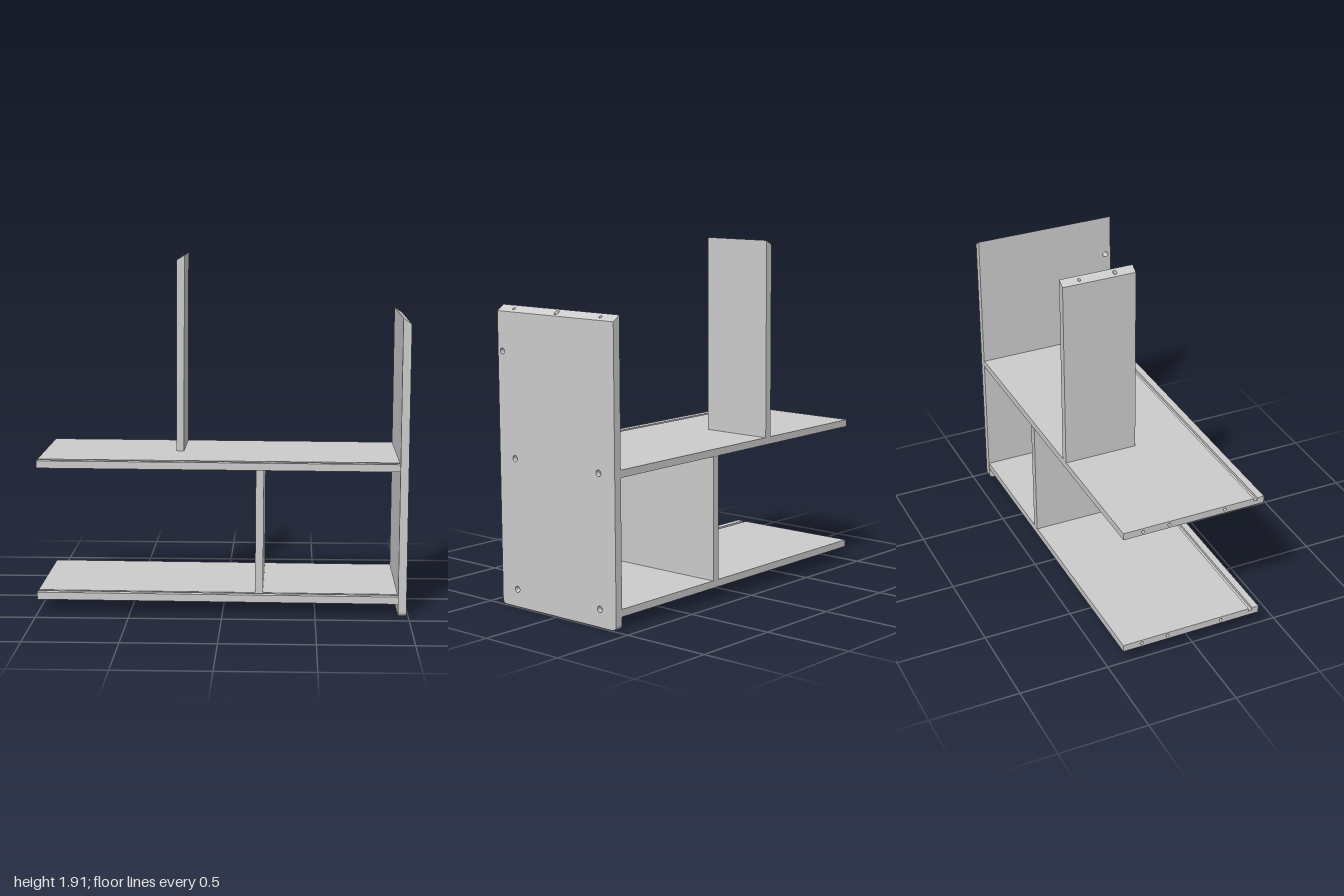
import * as THREE from 'three';

const material = new THREE.MeshStandardMaterial({ color: 0xcccccc });

// Shape from corner points, with round holes given as [a, b, radius]
function outline(points, holes = []) {
  const shape = new THREE.Shape(points.map(([a, b]) => new THREE.Vector2(a, b)));
  for (const [a, b, r] of holes) {
    shape.holes.push(new THREE.Path().absarc(a, b, r, 0, Math.PI * 2, true));
  }
  return shape;
}

const rect = (a0, a1, b0, b1) => [[a0, b0], [a1, b0], [a1, b1], [a0, b1]];
const extrude = (shape, depth) =>
  new THREE.ExtrudeGeometry(shape, { depth, bevelEnabled: false, curveSegments: 16 });

// Shape lies in (-z, y), thickness runs along x
const alongX = (shape, x0, x1) => extrude(shape, x1 - x0).rotateY(Math.PI / 2).translate(x0, 0, 0);
// Shape lies in (x, -z), thickness runs along y
const alongY = (shape, y0, y1) => extrude(shape, y1 - y0).rotateX(-Math.PI / 2).translate(0, y0, 0);

// Slope everything above yMin, pivoting about x0
function slopeTop(geometry, yMin, x0, slope) {
  const p = geometry.attributes.position;
  for (let i = 0; i < p.count; i++) {
    if (p.getY(i) > yMin) p.setY(i, p.getY(i) + slope * (p.getX(i) - x0));
  }
  geometry.computeVertexNormals();
  return geometry;
}

function part(name, ...geometries) {
  const group = new THREE.Group();
  group.name = name;
  for (const g of geometries) group.add(new THREE.Mesh(g, material));
  return group;
}

// Shelf with a groove near the front, dowel holes in the left end and screw holes below
function shelf(name, y, screws) {
  const x0 = -1.002, xEnd = -0.98, x1 = 0.945, t = 0.04, plate = 0.012;
  const profile = bottom => [
    [-0.4, bottom], [0.41, bottom], [0.41, t], [-0.34, t],
    [-0.34, t - 0.015], [-0.362, t - 0.015], [-0.362, t], [-0.4, t],
  ];
  const dowels = [-0.3, -0.15, 0.17].map(z => [-z, t / 2, 0.009]);
  const group = part(name,
    alongX(outline(profile(0), dowels), x0, xEnd),
    alongX(outline(profile(plate)), xEnd, x1),
    alongY(outline(rect(xEnd, x1, -0.4, 0.41), screws.map(([x, z]) => [x, -z, 0.012])), 0, plate));
  group.position.y = y;
  return group;
}

// Thin top piece of a board, with vertical dowel holes
function drilledCap(x0, x1, z0, z1, y0, y1, holes) {
  const cx = (x0 + x1) / 2;
  return alongY(outline(rect(x0, x1, -z1, -z0), holes.map(([z, r]) => [cx, -z, r])), y0, y1);
}

// Tall side panel: rounded bottom corners, mitred top, counterbored screw holes
function sidePanel() {
  const x0 = 0.945, xm = 0.96, x1 = 0.99, y0 = 0.005, yCap = 1.56, yTop = 1.58;
  const w = 0.412, r = 0.025, slope = -0.67;
  const corners = [];
  for (let i = 0; i <= 6; i++) {
    const t = Math.PI + (i / 6) * Math.PI / 2;
    corners.push([-w + r + r * Math.cos(t), y0 + r + r * Math.sin(t)]);
  }
  const mirrored = corners.map(([a, b]) => [-a, b]).reverse();
  const points = [...corners, ...mirrored, [w, yCap], [-w, yCap]];
  const screws = radius => [0.1, 0.807].flatMap(y => [-0.3, 0.3].map(a => [a, y, radius]));
  const through = [-0.38, 1.37, 0.016], blind = [-0.38, 0.98, 0.014];
  const layers = [
    alongX(outline(points, [...screws(0.009), through, blind]), x0, xm),
    alongX(outline(points, [...screws(0.017), through]), xm, x1),
    drilledCap(x0, x1, -w, w, yCap, yTop, [[-0.305, 0.008], [0, 0.014], [0.31, 0.008]]),
  ];
  return part('sidePanel', ...layers.map(g => slopeTop(g, 1.5, x1, slope)));
}

// Half-depth upright on the upper shelf, mitred the other way
function upright() {
  const x0 = -0.275, x1 = -0.232, z0 = -0.412, z1 = 0, yCap = 1.868, yTop = 1.888;
  const layers = [
    alongX(outline(rect(-z1, -z0, 0.83, yCap)), x0, x1),
    drilledCap(x0, x1, z0, z1, yCap, yTop, [[-0.31, 0.008], [-0.11, 0.011]]),
  ];
  return part('upright', ...layers.map(g => slopeTop(g, 1.5, x0, 0.6)));
}

export function createModel() {
  const model = new THREE.Group();
  model.name = 'shelfUnit';
  model.add(
    shelf('lowerShelf', 0.07, [[0.197, -0.3], [0.197, 0.2]]),
    shelf('upperShelf', 0.79, [[-0.253, -0.3], [-0.253, -0.11]]),
    part('divider', alongX(outline(rect(-0.335, 0.412, 0.11, 0.79)), 0.175, 0.218)),
    upright(),
    sidePanel(),
  );
  // The whole unit leans very slightly
  model.rotation.z = -0.005;
  return model;
}
